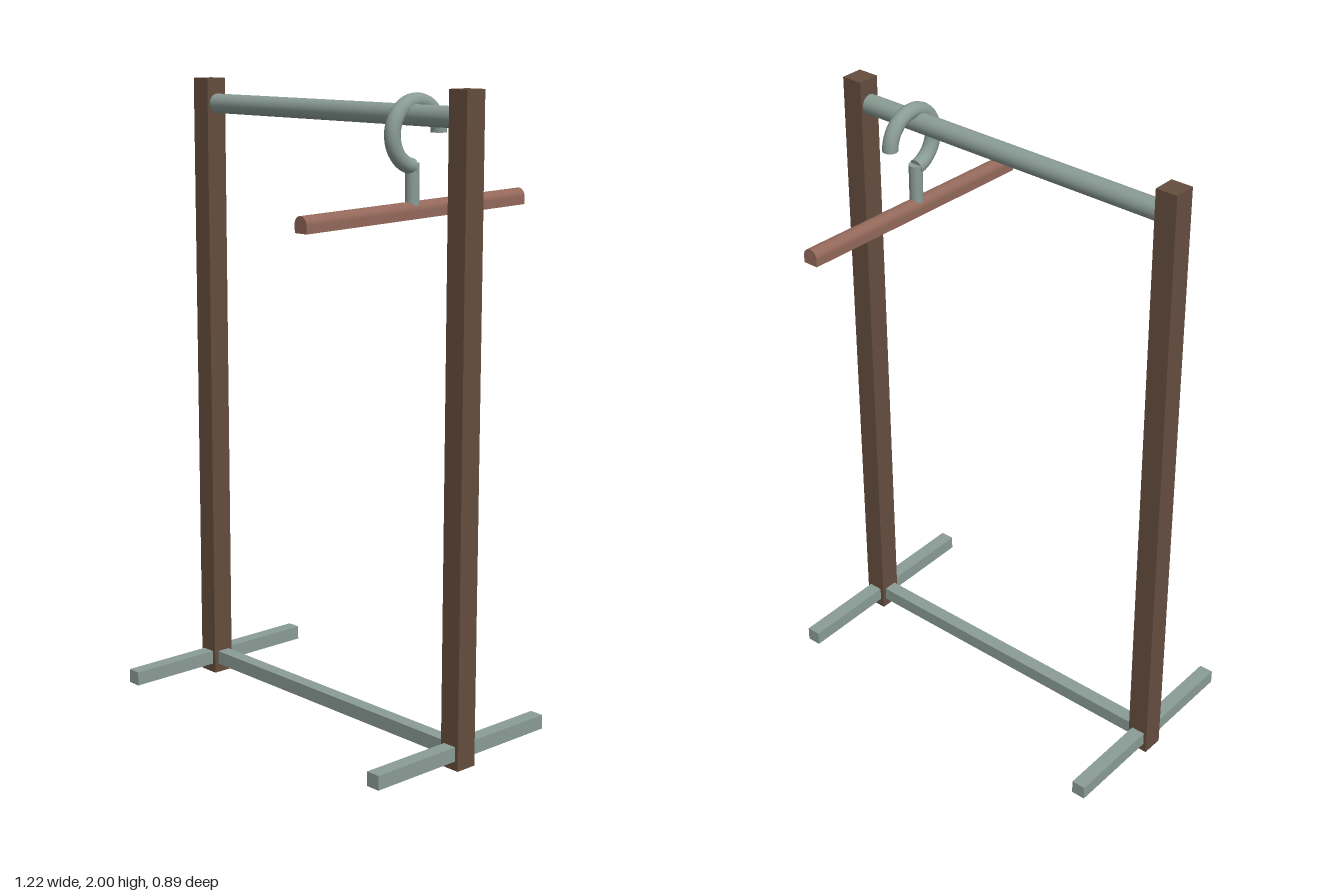
import * as THREE from 'three';

const mat = (color) => new THREE.MeshStandardMaterial({ color });

export function createModel() {
  const group = new THREE.Group();
  const wood = mat(0x654d3e), metal = mat(0x8a9c95), hangerWood = mat(0x93685a);
  const Z = 0.021; // depth of the frame plane

  const add = (name, geometry, material, x, y, z, parent = group) => {
    const mesh = new THREE.Mesh(geometry, material);
    mesh.name = name;
    mesh.position.set(x, y, z);
    parent.add(mesh);
    return mesh;
  };

  // Posts with a cross foot through each
  for (const [side, s] of [['left', 1], ['right', -1]]) {
    add(side + 'Post', new THREE.BoxGeometry(0.07, 2, 0.072), wood, s * 0.576, 1, Z);
    const foot = add(side + 'Foot', new THREE.BoxGeometry(0.046, 0.045, 0.705), metal, s * 0.577, 0.052, Z);
    foot.rotation.y = 0.009;
  }

  // Lower square bar
  add('lowerBar', new THREE.BoxGeometry(1.1, 0.045, 0.045), metal, 0, 0.052, Z);

  // Round top rail, very slightly askew
  const rail = add('topRail', new THREE.CylinderGeometry(0.031, 0.031, 1.11, 32), metal, 0, 1.92, 0.02);
  rail.rotation.set(0, -0.005, Math.PI / 2);

  // Hanger
  const hanger = new THREE.Group();
  hanger.name = 'hanger';
  hanger.position.x = 0.353;
  group.add(hanger);

  // Wooden bar with a flat underside and a rounded top
  const w = 0.025;
  const profile = new THREE.Shape();
  profile.moveTo(-w, -0.024);
  profile.lineTo(w, -0.024);
  profile.lineTo(w, 0);
  profile.absarc(0, 0, w, 0, Math.PI, false);
  profile.closePath();
  const barGeometry = new THREE.ExtrudeGeometry(profile, { depth: 0.885, bevelEnabled: false, curveSegments: 16 });
  barGeometry.translate(0, 0, -0.4425);
  const bar = add('hangerBar', barGeometry, hangerWood, 0, 1.646, 0, hanger);
  bar.rotation.x = 0.027;

  // Stem rising from the bar
  add('hangerStem', new THREE.CylinderGeometry(0.021, 0.021, 0.13, 24), metal, 0, 1.717, 0.013, hanger);

  // Hook: from the back tip over the rail and round to the stem
  const R = 0.094, r = 0.024, arc = Math.PI * 1.45;
  const hook = add('hangerHook', new THREE.TorusGeometry(R, r, 16, 48, arc), metal, 0, 1.865, 0, hanger);
  hook.rotation.y = Math.PI / 2;
  for (const [a, turn] of [[0, Math.PI / 2], [arc, arc - Math.PI / 2]]) {
    const cap = add('hookEnd', new THREE.CircleGeometry(r, 16), metal, R * Math.cos(a), R * Math.sin(a), 0, hook);
    // face the cap outwards along the tube
    const dir = a === 0 ? -1 : 1;
    cap.quaternion.setFromUnitVectors(
      new THREE.Vector3(0, 0, 1),
      new THREE.Vector3(-Math.sin(a) * dir, Math.cos(a) * dir, 0)
    );
  }
  return group;
}
